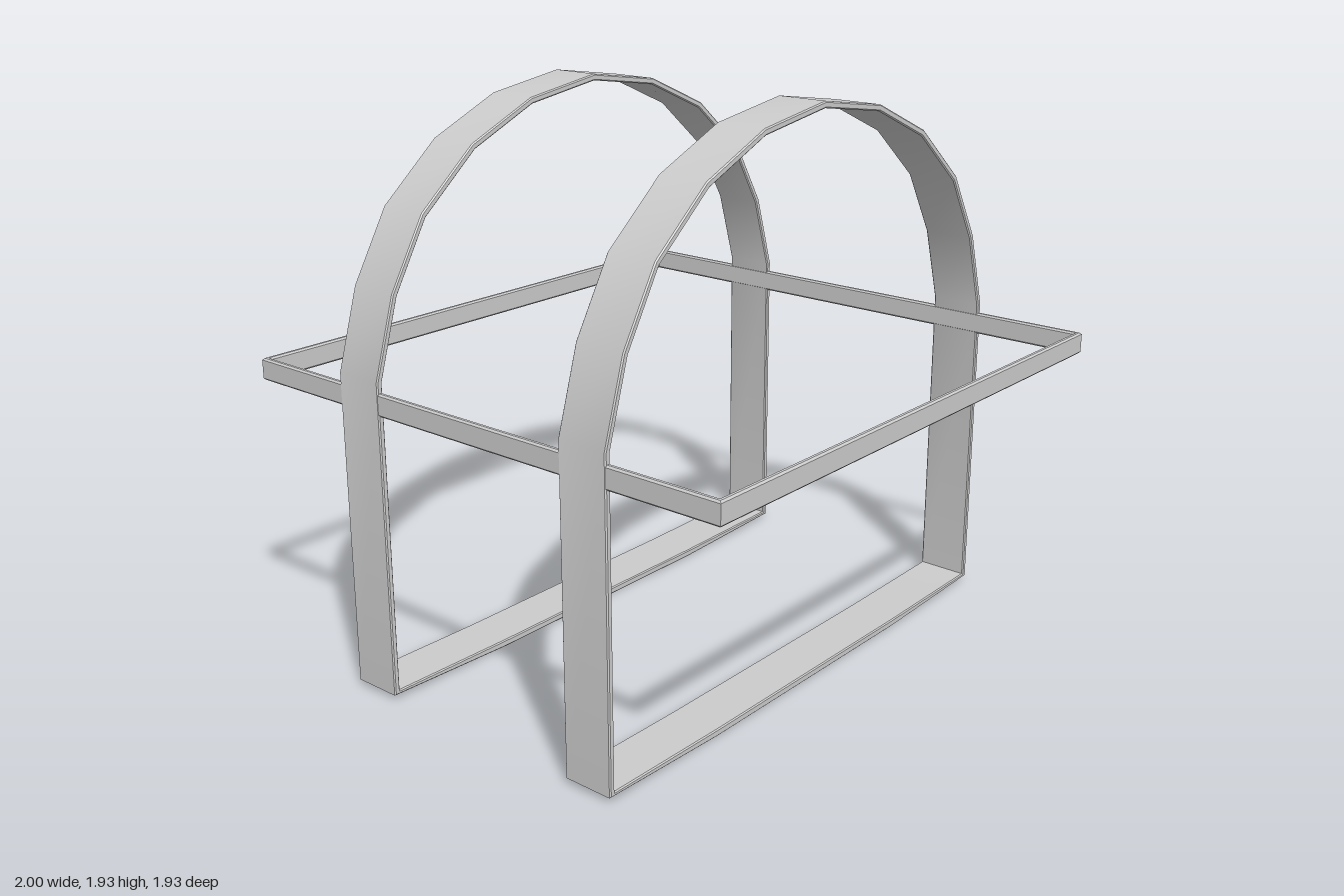
import * as THREE from 'three';
import { toCreasedNormals } from 'three/addons/utils/BufferGeometryUtils.js';

const WALL = 0.021;

// Mirrors a right-hand profile (bottom to top centre) into a closed outline.
function mirrored(half) {
  const left = half.filter(([x]) => x > 0).map(([x, y]) => [-x, y]).reverse();
  return [...half, ...left].map(([x, y]) => new THREE.Vector2(x, y));
}

// Extrudes a thin closed frame with softened edges, centred on its depth.
function frameGeometry(outer, inner, depth, bevel) {
  const shape = new THREE.Shape(outer);
  shape.holes.push(new THREE.Path(inner));
  const geometry = new THREE.ExtrudeGeometry(shape, {
    depth: depth - 2 * bevel,
    bevelEnabled: true,
    bevelThickness: bevel,
    bevelSize: bevel,
    bevelOffset: -bevel,
    bevelSegments: 1,
  });
  geometry.translate(0, 0, bevel - depth / 2);
  return toCreasedNormals(geometry, 0.5);
}

export function createModel() {
  const group = new THREE.Group();
  const material = new THREE.MeshStandardMaterial({ color: 0xcccccc });

  // Arched hoops: faceted arch, straight legs, slightly bowed base
  const outer = mirrored([
    [0.5, 0], [1, 0.018], [1, 1.09], [0.92, 1.355], [0.785, 1.585],
    [0.565, 1.77], [0.3, 1.885], [0, 1.93],
  ]);
  const inner = mirrored([
    [0.5, 0.025], [1 - WALL, 0.032], [1 - WALL, 1.087], [0.901, 1.346], [0.77, 1.57],
    [0.553, 1.752], [0.295, 1.864], [0, 1.908],
  ]);
  const hoopGeometry = frameGeometry(outer, inner, 0.18, 0.004);
  for (const [name, z] of [['frontHoop', 0.473], ['backHoop', -0.473]]) {
    const hoop = new THREE.Mesh(hoopGeometry, material);
    hoop.name = name;
    hoop.position.z = z;
    group.add(hoop);
  }

  // Horizontal rectangular frame joining the hoops
  const rectangle = (x, z) => [[x, -z], [x, z], [-x, z], [-x, -z]].map(([a, b]) => new THREE.Vector2(a, b));
  const rail = new THREE.Mesh(
    frameGeometry(rectangle(0.999, 0.964), rectangle(0.999 - WALL, 0.964 - WALL), 0.075, 0.006),
    material,
  );
  rail.name = 'horizontalFrame';
  rail.rotation.x = -Math.PI / 2;
  rail.position.y = 1.018;
  group.add(rail);

  return group;
}
